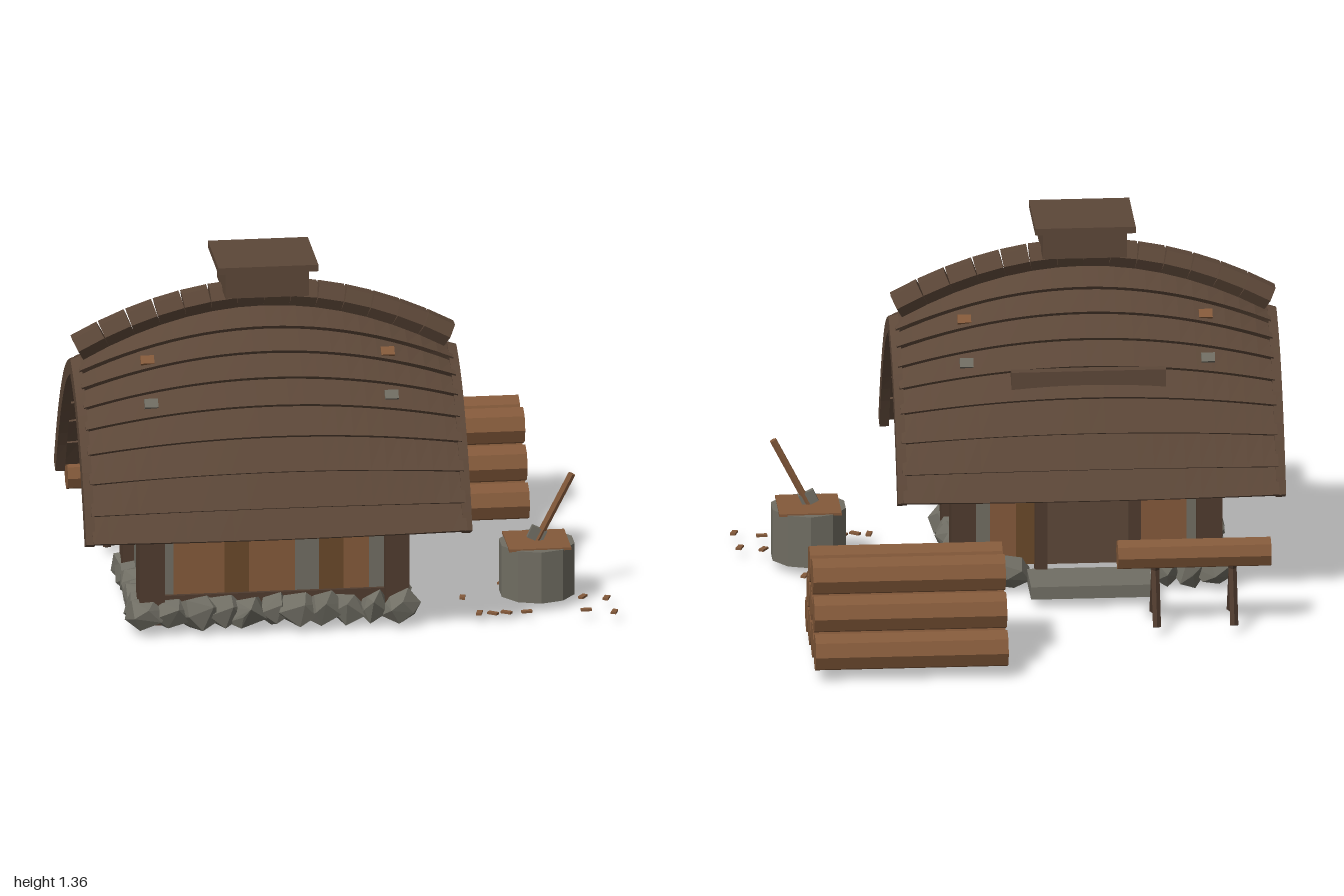
import * as THREE from 'three';
import { ConvexGeometry } from 'three/addons/geometries/ConvexGeometry.js';

const V = (x, y, z) => new THREE.Vector3(x, y, z);
const CX = -0.285, CZ = 0.38; // middle of the hut

function mat(name, color, side = THREE.FrontSide) {
  const m = new THREE.MeshStandardMaterial({ color, side, flatShading: true });
  m.name = name;
  return m;
}

// Roof profiles (distance from ridge, height) at the gable ends and in the middle
const profile = (pts) => new THREE.CatmullRomCurve3(pts.map(([d, y]) => V(d, y, 0)));
const endCurve = profile([[0, 0.97], [0.09, 0.93], [0.18, 0.87], [0.26, 0.79], [0.34, 0.69], [0.42, 0.56], [0.49, 0.42]]);
const midCurve = profile([[0, 1.17], [0.09, 1.08], [0.18, 0.98], [0.27, 0.87], [0.36, 0.74], [0.44, 0.58], [0.51, 0.42]]);

function section(x, t) {
  const u = Math.min(1, Math.abs(x - CX) / 0.7);
  return endCurve.getPoint(t).lerp(midCurve.getPoint(t), 1 - u * u);
}
// Point on the roof: t runs from ridge to eave, off lifts it along the normal
function roofPoint(x, t, side, off = 0) {
  t = Math.min(1, t);
  const p = section(x, t);
  const a = section(x, Math.max(0, t - 0.02)), b = section(x, Math.min(1, t + 0.02));
  const n = V(a.y - b.y, b.x - a.x, 0).normalize();
  return V(x, p.y + n.y * off, CZ + side * Math.max(0, p.x + n.x * off));
}
function roofHeight(x, z) {
  let lo = 0, hi = 1;
  for (let i = 0; i < 20; i++) {
    const m = (lo + hi) / 2;
    if (section(x, m).x < Math.abs(z - CZ)) lo = m; else hi = m;
  }
  return section(x, lo).y;
}

// Joins equal rings of corners into a closed solid
function loft(rings) {
  const n = rings[0].length, idx = [], last = (rings.length - 1) * n;
  for (let i = 0; i < rings.length - 1; i++) {
    for (let j = 0; j < n; j++) {
      const a = i * n + j, b = i * n + (j + 1) % n;
      idx.push(a, b, a + n, b, b + n, a + n);
    }
  }
  for (let j = 1; j < n - 1; j++) idx.push(0, j + 1, j, last, last + j, last + j + 1);
  let g = new THREE.BufferGeometry().setFromPoints(rings.flat());
  g.setIndex(idx);
  g = g.toNonIndexed();
  g.computeVertexNormals();
  return g;
}

export function createModel() {
  const root = new THREE.Group();
  const roofWood = mat('roof wood', 0x5c4738, THREE.DoubleSide);
  const beamWood = mat('beam wood', 0x4f3b2e);
  const logWood = mat('log wood', 0x83593a);
  const plankWood = mat('dark plank wood', 0x694829);
  const greyWood = mat('weathered wood', 0x706d62);
  const stone = mat('stone', 0x706e64);

  let seed = 7;
  const rnd = () => (seed = (seed * 16807) % 2147483647) / 2147483647;

  const group = (name, parent = root) => {
    const g = new THREE.Group();
    g.name = name;
    parent.add(g);
    return g;
  };
  const add = (parent, name, geo, m) => {
    const mesh = new THREE.Mesh(geo, m);
    mesh.name = name;
    parent.add(mesh);
    return mesh;
  };
  // Box given by its limits
  const box = (parent, name, m, x0, x1, y0, y1, z0, z1) => {
    const b = add(parent, name, new THREE.BoxGeometry(x1 - x0, y1 - y0, z1 - z0), m);
    b.position.set((x0 + x1) / 2, (y0 + y1) / 2, (z0 + z1) / 2);
    return b;
  };
  // Straight rod or log between two points
  const rod = (parent, name, m, a, b, r, sides) => {
    const d = b.clone().sub(a);
    const c = add(parent, name, new THREE.CylinderGeometry(r, r, d.length(), sides), m);
    c.position.copy(a).lerp(b, 0.5);
    c.quaternion.setFromUnitVectors(V(0, 1, 0), d.normalize());
    return c;
  };

  // Roof: lapped boards, gable boards and small patches
  const roof = group('roof');
  const ROWS = 8, STEPS = 24;
  for (const side of [1, -1]) {
    for (let r = 0; r < ROWS; r++) {
      const t0 = r / ROWS, t1 = (r + 1) / ROWS + 0.015, rings = [];
      for (let i = 0; i <= STEPS; i++) {
        const x = -0.975 + 1.385 * i / STEPS;
        const ring = [[t0, 0], [t1, 0.024], [t1, -0.012], [t0, -0.022]].map(([t, o]) => roofPoint(x, t, side, o));
        rings.push(side > 0 ? ring : ring.reverse());
      }
      add(roof, 'roofBoard', loft(rings), roofWood);
    }
    for (const [x0, x1] of [[-1, -0.965], [0.395, 0.43]]) {
      const rings = [];
      for (let i = 0; i <= 14; i++) {
        const ring = [[x0, 0.014], [x1, 0.014], [x1, -0.045], [x0, -0.045]].map(([x, o]) => roofPoint(x, i / 14, side, o));
        rings.push(side > 0 ? ring : ring.reverse());
      }
      add(roof, 'gableBoard', loft(rings), roofWood);
    }
    for (const x of [-0.73, 0.16]) {
      for (const [t, m] of [[0.22, logWood], [0.45, greyWood]]) {
        const a = roofPoint(x, t - 0.02, side, 0.02), b = roofPoint(x, t + 0.02, side, 0.02);
        const patch = add(roof, 'roofPatch', new THREE.BoxGeometry(0.05, 0.015, 0.035), m);
        patch.position.copy(a).lerp(b, 0.5);
        patch.rotation.x = Math.atan2(a.y - b.y, b.z - a.z);
      }
    }
  }
  box(roof, 'backLedge', roofWood, -0.57, 0, 0.79, 0.865, 0.05, 0.13);

  // Ridge cap: short six-sided pieces along an arc
  const ridgeY = (x) => 1.215 - 0.19 * ((x - CX) / 0.69) ** 2;
  const CAPS = 14;
  for (let i = 0; i < CAPS; i++) {
    const x0 = -0.975 + 1.38 * i / CAPS, x1 = x0 + 1.38 / CAPS - 0.003;
    const d = Math.atan2(ridgeY(x1) - ridgeY(x0), x1 - x0);
    const cap = add(roof, 'ridgeCap', new THREE.CylinderGeometry(0.052, 0.052, Math.hypot(x1 - x0, ridgeY(x1) - ridgeY(x0)), 6)
      .rotateZ(-Math.PI / 2), roofWood);
    cap.position.set((x0 + x1) / 2, (ridgeY(x0) + ridgeY(x1)) / 2, CZ);
    cap.rotation.z = d;
  }
  box(roof, 'ventBox', roofWood, -0.44, -0.13, 1.235, 1.335, 0.25, 0.51);
  box(roof, 'ventLid', roofWood, -0.47, -0.1, 1.34, 1.365, 0.215, 0.545);

  // Walls: planks, posts and sills
  const walls = group('walls');
  const planks = [
    [-0.69, -0.65, greyWood], [-0.65, -0.46, logWood], [-0.46, -0.37, plankWood], [-0.37, -0.2, logWood],
    [-0.2, -0.11, greyWood], [-0.11, -0.02, plankWood], [-0.02, 0.075, logWood], [0.075, 0.14, greyWood],
  ];
  for (const [a, b, m] of planks) {
    box(walls, 'frontPlank', m, a, b, 0.1, 0.74, 0.62, 0.65);
    // the doorway interrupts the back planks
    for (const [p, q, y0] of [[a, Math.min(b, -0.47), 0.1], [Math.max(a, -0.1), b, 0.1], [Math.max(a, -0.47), Math.min(b, -0.1), 0.53]]) {
      if (q - p > 0.005) box(walls, 'backPlank', m, p, q, y0, 0.74, 0.11, 0.14);
    }
  }
  const gable = [[0.11, 0.19, logWood], [0.19, 0.26, greyWood], [0.26, 0.5, logWood], [0.5, 0.625, greyWood], [0.625, 0.65, logWood]];
  for (const x of [-0.71, 0.17]) {
    for (const [a, b, m] of gable) {
      const s = new THREE.Shape().moveTo(b, 0.08).lineTo(a, 0.08);
      for (let i = 0; i <= 8; i++) {
        const z = a + (b - a) * i / 8;
        s.lineTo(z, roofHeight(x, z) - 0.04);
      }
      s.closePath();
      const g = new THREE.ExtrudeGeometry(s, { depth: 0.03, bevelEnabled: false }).rotateY(-Math.PI / 2);
      add(walls, 'gablePlank', g, m).position.x = x;
    }
  }
  for (const [x0, x1] of [[-0.78, -0.685], [0.13, 0.22]]) {
    for (const [z0, z1] of [[0.07, 0.185], [0.58, 0.69]]) box(walls, 'cornerPost', beamWood, x0, x1, 0.04, 0.64, z0, z1);
  }
  box(walls, 'frontSill', beamWood, -0.69, 0.14, 0.08, 0.145, 0.615, 0.665);

  // Back door with its frame and stone step
  const door = group('door');
  box(door, 'doorPanel', roofWood, -0.44, -0.13, 0.1, 0.51, 0.105, 0.135);
  for (const x of [-0.48, -0.135]) box(door, 'doorPost', beamWood, x, x + 0.045, 0.06, 0.55, 0.08, 0.15);
  box(door, 'doorLintel', beamWood, -0.5, -0.07, 0.5, 0.56, 0.075, 0.15);
  box(door, 'doorStep', stone, -0.51, -0.06, 0.04, 0.088, -0.12, 0.09);

  // Foundation stones
  const base = group('foundation');
  const rock = (x, z) => {
    const pts = [], r = 0.062 + rnd() * 0.025;
    for (let i = 0; i < 13; i++) {
      const h = 1 - 2 * (i + 0.5) / 13, a = i * 2.4 + rnd() * 0.9, c = Math.sqrt(1 - h * h);
      const k = 0.8 + rnd() * 0.3;
      pts.push(V(Math.cos(a) * c * r * k * 1.1, Math.max(-0.072, h * 0.07 * k), Math.sin(a) * c * r * k));
    }
    add(base, 'stone', new ConvexGeometry(pts), stone).position.set(x, 0.072 + rnd() * 0.012, z);
  };
  for (let i = 0; i < 11; i++) {
    const x = -0.75 + i * 0.0935;
    rock(x, 0.665 + rnd() * 0.02);
    if (x < -0.52 || x > -0.06) rock(x, 0.085);
  }
  for (let i = 1; i < 6; i++) {
    rock(-0.745, 0.09 + i * 0.098);
    rock(0.185, 0.09 + i * 0.098);
  }

  // Log pile in three layers
  const pile = group('logPile');
  [[4, 0.105], [3, 0.228], [2, 0.35]].forEach(([n, y], row) => {
    for (let i = 0; i < n; i++) {
      const z = -0.412 - row * 0.072 - i * 0.144;
      rod(pile, 'log', logWood, V(0.08, y, z), V(0.79, y, z), 0.07, 8);
    }
  });

  // Sawhorse with a log across it
  const horse = group('sawhorse');
  rod(horse, 'sawLog', logWood, V(-0.925, 0.29, -0.36), V(-0.36, 0.29, -0.36), 0.056, 8);
  for (const x of [-0.785, -0.5]) {
    rod(horse, 'sawhorseLeg', beamWood, V(x, 0.035, -0.265), V(x, 0.26, -0.375), 0.015, 4);
    rod(horse, 'sawhorseLeg', beamWood, V(x, 0.035, -0.448), V(x, 0.26, -0.345), 0.015, 4);
  }

  // Chopping block with axe
  const block = group('choppingBlock');
  add(block, 'blockBody', new THREE.CylinderGeometry(0.142, 0.142, 0.197, 10), greyWood).position.set(0.72, 0.134, 0.448);
  box(block, 'blockTop', logWood, 0.605, 0.835, 0.228, 0.238, 0.335, 0.557);
  rod(block, 'axeHandle', logWood, V(0.72, 0.235, 0.45), V(0.85, 0.488, 0.45), 0.014, 6);
  box(block, 'axeHead', stone, 0.69, 0.75, 0.236, 0.285, 0.44, 0.46).rotation.z = -0.45;

  // Wood chips on the ground
  const chips = group('woodChips');
  const spots = [[0.605, 0.33], [0.75, 0.22], [0.88, 0.53], [0.965, 0.555], [0.875, 0.685], [0.975, 0.72],
    [0.48, 0.675], [0.53, 0.685], [0.58, 0.68], [0.655, 0.68], [0.44, 0.485]];
  for (const [x, z] of spots) {
    const c = box(chips, 'chip', logWood, x - 0.02, x + 0.02, 0.034, 0.042, z - 0.01, z + 0.01);
    c.rotation.y = rnd() * Math.PI;
  }
  return root;
}
